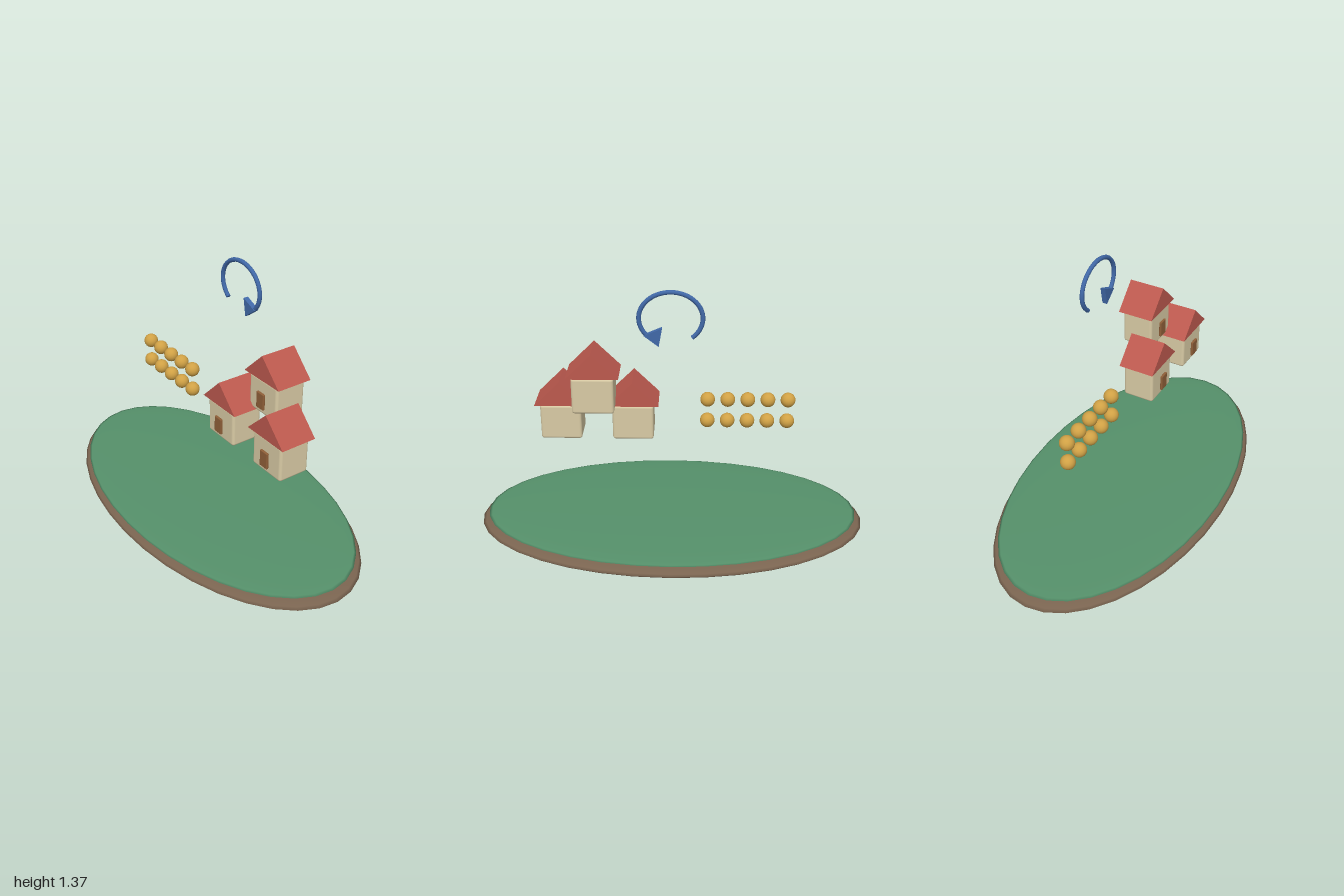
import * as THREE from 'three';
import { RoundedBoxGeometry } from 'three/addons/geometries/RoundedBoxGeometry.js';

const paint = (color, extra = {}) => {
  const m = new THREE.MeshStandardMaterial(extra);
  m.color.set(color);
  return m;
};
const soil = paint(0x7a6450), grass = paint(0x55906a), wall = paint(0xd8caa4);
const roofRed = paint(0xbc594e, { flatShading: true }), wood = paint(0x8f5f38);
const gold = paint(0xd0a145), blue = paint(0x4169a8, { side: THREE.DoubleSide });

function add(parent, name, geometry, material, x = 0, y = 0, z = 0) {
  const mesh = new THREE.Mesh(geometry, material);
  mesh.name = name;
  mesh.position.set(x, y, z);
  parent.add(mesh);
  return mesh;
}

// Triangle extruded along z, centred on z = 0
function prism(points, depth) {
  const shape = new THREE.Shape(points.map(([x, y]) => new THREE.Vector2(x, y)));
  return new THREE.ExtrudeGeometry(shape, { depth, bevelEnabled: false }).translate(0, 0, -depth / 2);
}

// House with rounded walls, gable roof and a door standing just off the front
function createHouse(x, y, z) {
  const house = new THREE.Group();
  house.name = 'house';
  house.position.set(x, y, z);
  add(house, 'walls', new RoundedBoxGeometry(0.204, 0.184, 0.164, 3, 0.014), wall, 0, 0.092, 0);
  add(house, 'roof', prism([[-0.127, 0], [0.127, 0], [0, 0.126]], 0.188), roofRed, 0, 0.187, 0);
  add(house, 'door', new RoundedBoxGeometry(0.053, 0.084, 0.013, 2, 0.004), wood, 0, 0.079, 0.094);
  return house;
}

// Circular arrow: an open oval tube with a flat triangular head
function createArrow() {
  const arrow = new THREE.Group();
  arrow.name = 'circularArrow';
  arrow.position.z = -0.167;
  const points = [];
  for (let i = 0; i <= 24; i++) {
    const a = THREE.MathUtils.degToRad(227 - (274 * i) / 24);
    points.push(new THREE.Vector3(0.148 * Math.cos(a), 1.232 + 0.126 * Math.sin(a), 0));
  }
  const path = new THREE.CatmullRomCurve3(points);
  add(arrow, 'arc', new THREE.TubeGeometry(path, 40, 0.011, 8), blue);
  const start = points[0];
  const cap = add(arrow, 'arcEnd', new THREE.CircleGeometry(0.011, 8), blue, start.x, start.y, 0);
  cap.lookAt(start.clone().sub(path.getTangent(0)));
  add(arrow, 'arrowHead', prism([[0.04, 1.187], [0.056, 1.096], [0.126, 1.15]], 0.026), blue);
  return arrow;
}

export function createModel() {
  const model = new THREE.Group();

  // Island: two flattened ellipsoids
  const ball = new THREE.SphereGeometry(1, 36, 18);
  add(model, 'islandBase', ball, soil, 0, 0.06, 0).scale.set(1, 0.058, 0.545);
  add(model, 'islandTop', ball, grass, 0, 0.105, 0).scale.set(0.965, 0.018, 0.525);

  // Two rows of beads
  const bead = new THREE.SphereGeometry(0.037, 20, 14);
  for (const y of [0.632, 0.747]) {
    for (let i = 0; i < 5; i++) add(model, 'bead', bead, gold, -0.58 + i * 0.1, y, 0);
  }

  // Stack of three houses
  model.add(createHouse(0.19, 0.557, 0.003));
  model.add(createHouse(0.548, 0.557, 0.003));
  model.add(createHouse(0.375, 0.747, -0.104));

  model.add(createArrow());
  return model;
}
